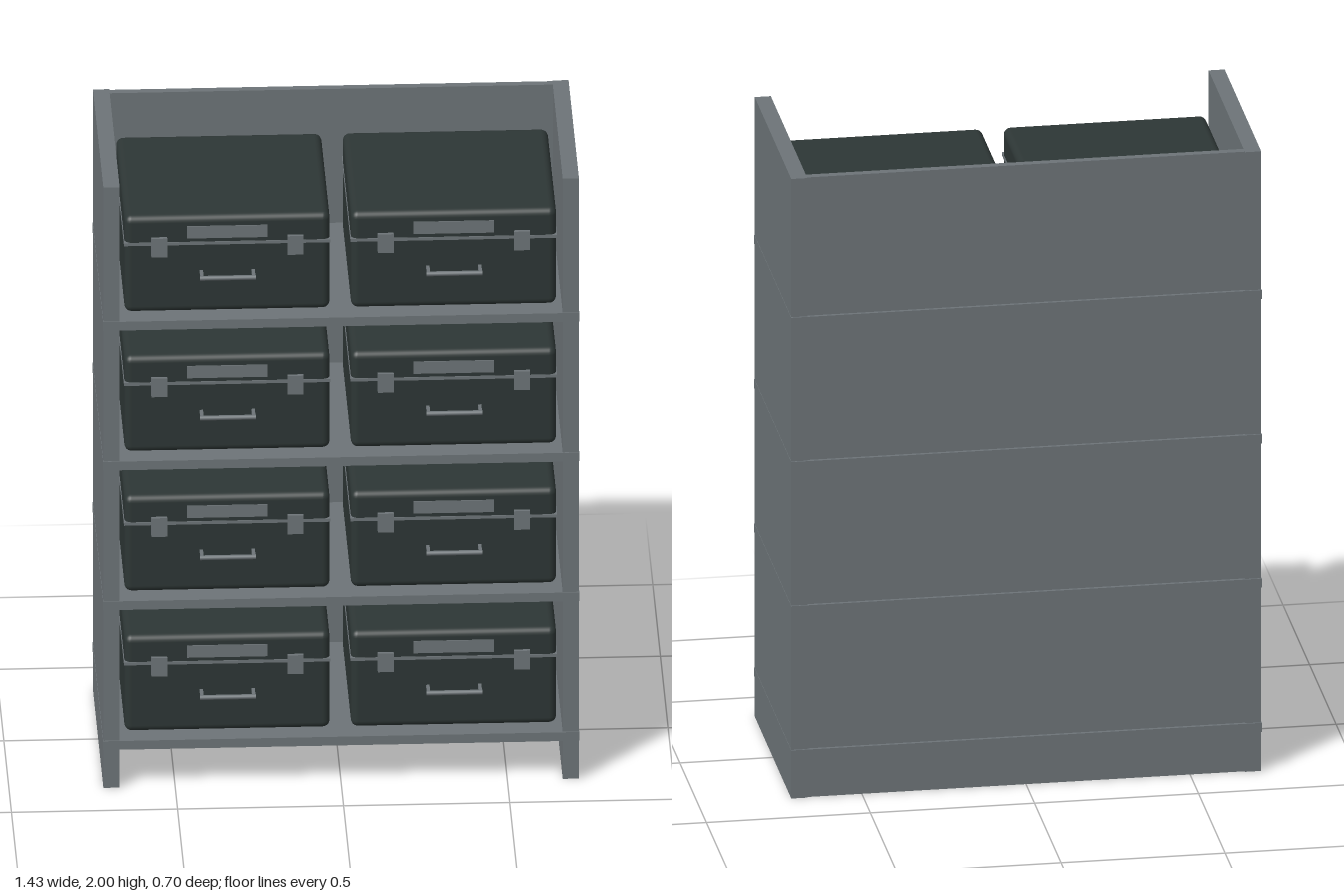
import * as THREE from 'three';
import { RoundedBoxGeometry } from 'three/addons/geometries/RoundedBoxGeometry.js';

const steel = new THREE.MeshStandardMaterial({ color: 0x6d7478 });
steel.name = 'steel grey';
const shell = new THREE.MeshStandardMaterial({ color: 0x2d3635 });
shell.name = 'dark case green';

// Adds a box given by its minimum and maximum corners; a radius rounds it.
function addBox(parent, name, material, [x0, y0, z0], [x1, y1, z1], radius = 0) {
  const size = [x1 - x0, y1 - y0, z1 - z0];
  const geometry = radius
    ? new RoundedBoxGeometry(...size, 3, radius)
    : new THREE.BoxGeometry(...size);
  const mesh = new THREE.Mesh(geometry, material);
  mesh.name = name;
  mesh.position.set((x0 + x1) / 2, (y0 + y1) / 2, (z0 + z1) / 2);
  parent.add(mesh);
  return mesh;
}

// Storage case standing on y = 0, centred on x = 0
function createCase() {
  const box = new THREE.Group();
  box.name = 'storageCase';
  const w = 0.309, back = -0.277, front = 0.297;

  addBox(box, 'caseBody', shell, [-w, 0, back], [w, 0.32, front], 0.022);
  // Rim between lid and body
  addBox(box, 'caseRim', steel, [-w - 0.002, 0.225, back - 0.002], [w + 0.002, 0.235, front + 0.002]);
  // Label plate on the lid
  addBox(box, 'labelPlate', steel, [-0.121, 0.247, front - 0.004], [0.121, 0.287, front + 0.003]);

  for (const side of [-1, 1]) {
    // Latches over the rim
    const x = side * 0.205;
    addBox(box, 'latch', steel, [x - 0.024, 0.19, front - 0.004], [x + 0.024, 0.252, front + 0.011]);
    // Handle posts
    const p = side * 0.078;
    addBox(box, 'handlePost', steel, [p - 0.005, 0.129, front - 0.004], [p + 0.005, 0.14, 0.342]);
  }

  // Handle grip
  const grip = new THREE.Mesh(new THREE.CylinderGeometry(0.0075, 0.0075, 0.168, 10), steel);
  grip.name = 'handleGrip';
  grip.rotation.z = Math.PI / 2;
  grip.position.set(0, 0.134, 0.3425);
  box.add(grip);
  return box;
}

export function createModel() {
  const model = new THREE.Group();
  model.name = 'storageRack';

  // Side panels and back panel
  addBox(model, 'rightSidePanel', steel, [-0.716, 0, -0.345], [-0.667, 2, 0.342]);
  addBox(model, 'leftSidePanel', steel, [0.667, 0, -0.345], [0.716, 2, 0.342]);
  addBox(model, 'backPanel', steel, [-0.667, 0, -0.34], [0.667, 2, -0.316]);

  // Four shelves, each holding two cases
  for (let i = 0; i < 4; i++) {
    const y = 0.128 + i * 0.4656;
    addBox(model, 'shelf', steel, [-0.717, y, -0.35], [0.717, y + 0.029, 0.346]);
    for (const side of [-1, 1]) {
      const box = createCase();
      box.position.set(side * 0.341, y + 0.033, 0);
      model.add(box);
    }
  }
  return model;
}
